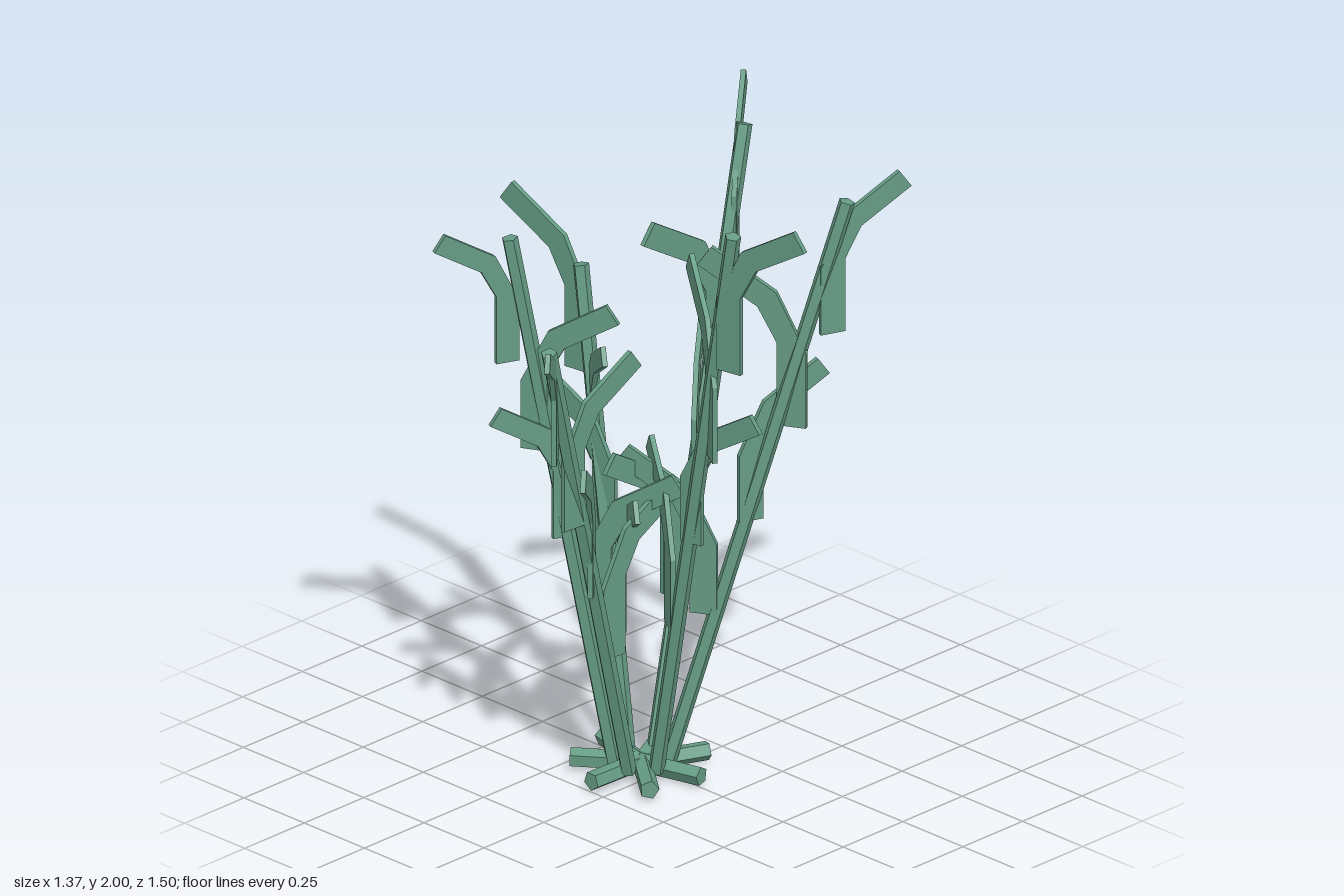
import * as THREE from 'three';

const foliage = new THREE.MeshStandardMaterial({ color: 0x669c85, flatShading: true });
foliage.name = 'foliageGreen';

const CENTRE = new THREE.Vector3(-0.05, 0.03, 0.04);

// Point at a compass angle (0 = front, growing toward +x) and distance from the centre
const around = (angle, distance, y) => new THREE.Vector3(
  CENTRE.x + distance * Math.sin(angle), y, CENTRE.z + distance * Math.cos(angle));

// Straight five-sided rod between two points
function rod(name, a, b, radius) {
  const dir = b.clone().sub(a);
  const mesh = new THREE.Mesh(new THREE.CylinderGeometry(radius, radius, dir.length(), 5), foliage);
  mesh.position.copy(a).add(b).multiplyScalar(0.5);
  mesh.quaternion.setFromUnitVectors(new THREE.Vector3(0, 1, 0), dir.normalize());
  mesh.name = name;
  return mesh;
}

// Thin bent strip: upright at the bottom, folding outward toward the tip
function makeLeafGeometry() {
  const outline = [[-0.042, 0], [0.042, 0], [0.042, 0.25], [0.098, 0.353],
    [0.272, 0.458], [0.231, 0.516], [0.045, 0.403], [-0.042, 0.229]];
  const shape = new THREE.Shape(outline.map(([x, y]) => new THREE.Vector2(x, y)));
  const geo = new THREE.ExtrudeGeometry(shape, { depth: 0.016, bevelEnabled: false });
  return geo.translate(0, 0, -0.008);
}

// Top of each stem and the sizes of its leaves, lowest first
const stems = [
  { top: [-0.24, 1.84, -0.585], sizes: [1, 0.91, 1.08, 1] },
  { top: [0.36, 1.84, -0.41], sizes: [1, 0.94, 1.07, 0.94] },
  { top: [0.43, 1.93, 0.14], sizes: [1, 0.91, 1.07, 1] },
  { top: [0.12, 1.6, 0.6], sizes: [1, 0.98, 0.98, 0.86] },
  { top: [-0.32, 1.74, 0.32], sizes: [1, 0.88, 0.97, 0.87] },
  { top: [-0.39, 1.51, -0.05], sizes: [1, 1, 0.85, 1.05] },
];

// Leaves on every stem: share of its length, outward shift, turn in degrees from its lean
const leafLevels = [
  { share: 0.265, shift: -0.035, turn: 160 },
  { share: 0.431, shift: 0.015, turn: 22 },
  { share: 0.598, shift: 0.05, turn: 160 },
  { share: 0.765, shift: 0.08, turn: 22 },
];

export function createModel() {
  const model = new THREE.Group();
  model.name = 'branchingPlant';
  const leafGeometry = makeLeafGeometry();

  // Stems rise from a small ring and lean outward
  for (const { top: [x, y, z], sizes } of stems) {
    const group = new THREE.Group();
    group.name = 'stemWithLeaves';
    const angle = Math.atan2(x - CENTRE.x, z - CENTRE.z);
    const base = around(angle, 0.08, CENTRE.y);
    const top = new THREE.Vector3(x, y, z);
    group.add(rod('stem', base, top, 0.025));

    // Leaves alternate between facing inward and outward
    leafLevels.forEach(({ share, shift, turn }, level) => {
      const leaf = new THREE.Mesh(leafGeometry, foliage);
      leaf.name = turn > 90 ? 'innerLeaf' : 'outerLeaf';
      leaf.position.lerpVectors(base, top, share);
      leaf.position.x += shift * Math.sin(angle);
      leaf.position.z += shift * Math.cos(angle);
      leaf.rotation.y = angle + THREE.MathUtils.degToRad(turn) - Math.PI / 2;
      leaf.scale.set(sizes[level], sizes[level], 1);
      group.add(leaf);
    });
    model.add(group);
  }

  // Seven short roots in a flat star
  for (let i = 0; i < 7; i++) {
    const tip = around((i / 7) * Math.PI * 2, 0.21, 0.034);
    model.add(rod('root', CENTRE, tip, 0.03));
  }
  return model;
}
